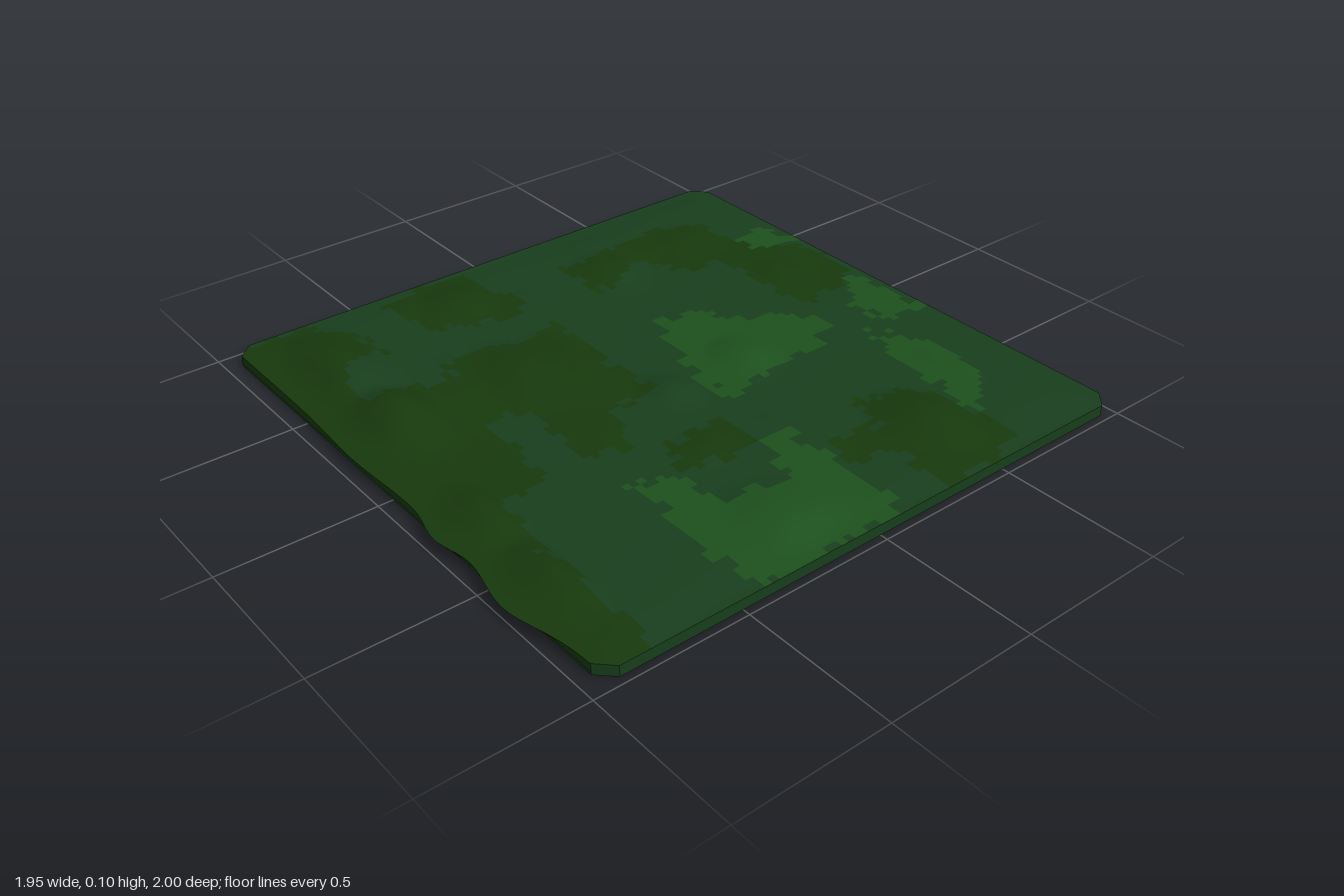
import * as THREE from 'three';

const HALF = 0.975, BACK = -1, FRONT = 0.95, CHAMFER = 0.05, RIM = 0.037;
const N = 78; // ground cells per side

// Mounds: x, z, height, radius in x, radius to the back, radius to the front
const mounds = [
  [-0.3, 0.75, 0.068, 0.17, 0.1, 0.11], [-0.62, 0.75, 0.058, 0.24, 0.12, 0.11],
  [0.27, 0.82, 0.042, 0.14, 0.06, 0.1], [0.62, 0.83, 0.044, 0.17, 0.06, 0.09],
  [-0.2, 0.13, 0.026, 0.26, 0.04, 0.22], [-0.25, 0.32, 0.035, 0.2, 0.15, 0.12],
  [-0.77, 0.22, 0.03, 0.14, 0.1, 0.12], [0.1, 0.03, 0.032, 0.1, 0.08, 0.08],
  [0.4, 0.14, 0.02, 0.1, 0.1, 0.1], [0.78, 0.2, 0.03, 0.16, 0.18, 0.14],
  [0.08, -0.28, 0.034, 0.13, 0.12, 0.1], [0.7, -0.48, 0.043, 0.16, 0.1, 0.14],
  [-0.65, -0.3, 0.03, 0.14, 0.12, 0.1], [-0.65, -0.68, 0.02, 0.14, 0.1, 0.14],
  [-0.25, -0.73, 0.022, 0.15, 0.14, 0.05], [0.55, -0.76, 0.018, 0.2, 0.06, 0.08],
];

// Outlines of the differently coloured patches, as x, z pairs
const mossPatches = [
  [-0.79, -0.6, -0.77, -0.75, -0.6, -0.82, -0.44, -0.78, -0.4, -0.95, -0.28, -1, -0.15, -1, -0.08, -0.88, -0.03, -0.7,
    -0.25, -0.64, -0.45, -0.65, -0.46, -0.52, -0.64, -0.42, -0.52, -0.2, -0.76, -0.18, -0.77, -0.55],
  [0.48, -0.4, 0.62, -0.6, 0.95, -0.62, 0.97, -0.27, 0.75, -0.27, 0.74, -0.14, 0.62, -0.12, 0.62, -0.32],
  [-0.98, 0.25, -0.95, 0.1, -0.6, 0.06, -0.6, 0.25, -0.68, 0.38, -0.9, 0.42],
  [-0.48, 0.06, 0.1, 0.08, 0.06, 0.22, 0.26, 0.3, 0.23, 0.45, -0.1, 0.45, -0.1, 0.58, 0.23, 0.58, 0.28, 0.75,
    0.5, 0.8, 0.98, 0.78, 0.98, 1, -0.98, 1, -0.95, 0.7, -0.8, 0.6, -0.65, 0.6, -0.6, 0.78, -0.4, 0.78,
    -0.4, 0.5, -0.48, 0.48, -0.44, 0.25],
  [0.32, 0, 0.45, 0, 0.5, 0.12, 0.45, 0.28, 0.32, 0.22],
];
const brightPatches = [
  [-0.56, -0.97, -0.42, -0.97, -0.42, -0.8, -0.56, -0.8],
  [-0.12, -0.97, 0.22, -0.97, 0.2, -0.82, 0.08, -0.78, -0.06, -0.88],
  [0.22, -0.7, 0.35, -0.82, 0.62, -0.82, 0.75, -0.66, 0.84, -0.62, 0.5, -0.66],
  [-0.24, -0.35, -0.12, -0.45, 0, -0.62, 0.14, -0.62, 0.2, -0.5, 0.2, -0.3, 0.24, -0.1, 0.1, -0.08, -0.08, -0.14, -0.24, -0.2],
  [0.45, -0.1, 0.95, -0.1, 0.98, 0.4, 0.8, 0.45, 0.4, 0.42, 0.5, 0.28, 0.65, 0.27, 0.65, 0.05, 0.45, 0],
];

function height(x, z) {
  let h = 0;
  for (const [mx, mz, top, rx, back, front] of mounds) {
    const rz = z < mz ? back : front;
    h = Math.max(h, top * Math.exp(-(((x - mx) / rx) ** 2) - ((z - mz) / rz) ** 2));
  }
  const edge = Math.min(HALF - Math.abs(x), z - BACK, FRONT - z);
  const ripple = 0.008 + 0.004 * Math.sin(9 * x + 3 * z) * Math.sin(8 * z - 2 * x);
  return RIM + Math.max(h, ripple) * THREE.MathUtils.smoothstep(edge, 0, 0.14);
}

// Wavy lip that hangs over the front edge
const overhang = (x) => 0.015 * Math.exp(-(((x + 0.2) / 0.2) ** 2))
  + 0.034 * Math.exp(-(((x - 0.27) / 0.1) ** 2)) + 0.05 * Math.exp(-(((x - 0.62) / 0.16) ** 2));

function inside(p, x, z) {
  let hit = false;
  for (let i = 0, j = p.length - 2; i < p.length; j = i, i += 2) {
    if ((p[i + 1] > z) !== (p[j + 1] > z)
      && x < ((p[j] - p[i]) * (z - p[i + 1])) / (p[j + 1] - p[i + 1]) + p[i]) hit = !hit;
  }
  return hit;
}

// Repeatable jitter in -0.5..0.5 that makes the patch edges ragged
function jitter(a, b) {
  const s = Math.sin(a * 12.99 + b * 78.23) * 43758.5;
  return s - Math.floor(s) - 0.5;
}

export function createModel() {
  const group = new THREE.Group();
  const add = (name, geometry, color, side = THREE.FrontSide) => {
    const mesh = new THREE.Mesh(geometry, new THREE.MeshStandardMaterial({ color, side }));
    mesh.name = name;
    group.add(mesh);
  };
  const GRASS = 0x183e1d, MOSS = 0x17390d, BRIGHT = 0x1d501d;

  // Flat slab with cut corners
  const w = HALF, c = CHAMFER;
  const outline = new THREE.Shape([
    [-w + c, -FRONT], [w - c, -FRONT], [w, -FRONT + c], [w, -BACK - c],
    [w - c, -BACK], [-w + c, -BACK], [-w, -BACK - c], [-w, -FRONT + c],
  ].map(([x, y]) => new THREE.Vector2(x, y)));
  const slab = new THREE.ExtrudeGeometry(outline, { depth: RIM - 0.001, bevelEnabled: false });
  add('slab', slab.rotateX(-Math.PI / 2), GRASS);

  // Ground surface: one height grid, split by colour into three meshes
  const points = [], all = [], moss = [], bright = [], grass = [];
  const zAt = (i) => BACK + ((FRONT - BACK) * i) / N;
  for (let i = 0; i <= N; i++) {
    const z = zAt(i);
    const half = HALF - Math.max(0, CHAMFER - Math.min(z - BACK, FRONT - z));
    for (let j = 0; j <= N; j++) {
      const x = half * ((2 * j) / N - 1);
      points.push(x, height(x, z), z + overhang(x) * THREE.MathUtils.smoothstep(z, 0.8, FRONT));
    }
  }
  for (let i = 0; i < N; i++) {
    for (let j = 0; j < N; j++) {
      const a = i * (N + 1) + j, b = a + N + 1;
      const faces = [a, b, b + 1, a, b + 1, a + 1];
      all.push(...faces);
      const bi = Math.floor(i / 2), bj = Math.floor(j / 2);
      const x = HALF * ((2 * j + 1) / N - 1) + 0.05 * jitter(bi, bj);
      const z = zAt(i + 0.5) + 0.05 * jitter(bj + 7, bi);
      const hit = (p) => inside(p, x, z);
      (brightPatches.some(hit) ? bright : mossPatches.some(hit) ? moss : grass).push(...faces);
    }
  }
  const ground = new THREE.BufferGeometry();
  ground.setAttribute('position', new THREE.Float32BufferAttribute(points, 3));
  ground.setIndex(all);
  ground.computeVertexNormals();
  const part = (index) => ground.clone().setIndex(index);
  add('grass', part(grass), GRASS);
  add('mossPatches', part(moss), MOSS);
  add('brightPatches', part(bright), BRIGHT);

  // Sloping underside of the front lip
  const lip = [], lipIndex = [];
  for (let j = 0; j <= N; j++) {
    const x = (HALF - CHAMFER) * ((2 * j) / N - 1);
    lip.push(x, RIM, FRONT + overhang(x), x, 0.01, FRONT + 0.002);
    if (j < N) lipIndex.push(2 * j, 2 * j + 1, 2 * j + 3, 2 * j, 2 * j + 3, 2 * j + 2);
  }
  const lipGeometry = new THREE.BufferGeometry();
  lipGeometry.setAttribute('position', new THREE.Float32BufferAttribute(lip, 3));
  lipGeometry.setIndex(lipIndex);
  lipGeometry.computeVertexNormals();
  add('frontLip', lipGeometry, MOSS, THREE.DoubleSide);

  return group;
}
